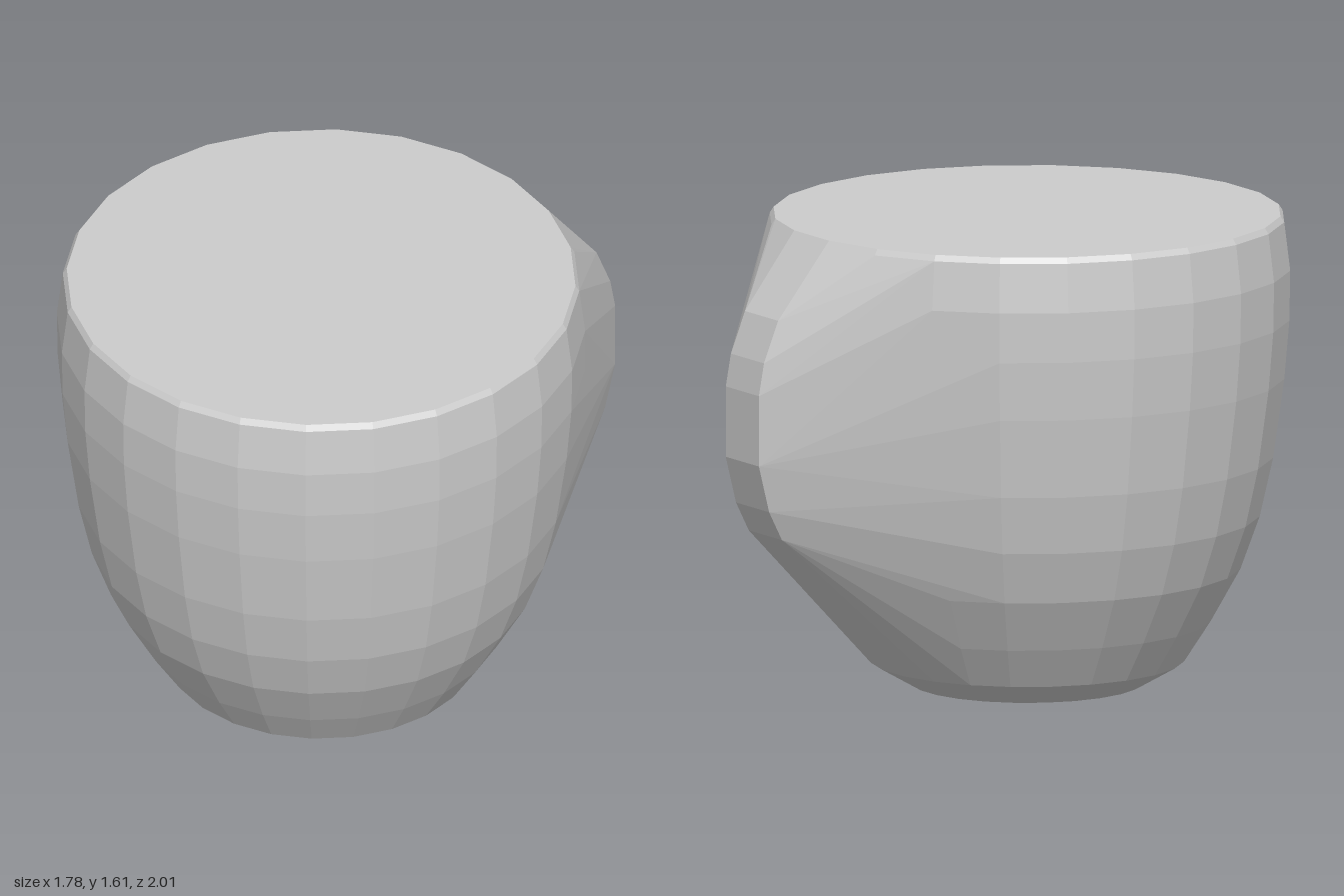
import * as THREE from 'three';
import { ConvexGeometry } from 'three/addons/geometries/ConvexGeometry.js';

const SIDES = 24;
const CENTRE_Z = 0.125;

// Cup outline: [radius, height]
const cupProfile = [
  [0.39, 0], [0.53, 0.08], [0.62, 0.22], [0.72, 0.4], [0.785, 0.58],
  [0.83, 0.78], [0.868, 1.05], [0.885, 1.25], [0.888, 1.42], [0.868, 1.585], [0.855, 1.605],
];

// Outer edge of the handle: [z, height]
const handleProfile = [
  [-0.91, 0.6], [-0.96, 0.7], [-1, 0.86], [-1, 1.1], [-0.98, 1.21], [-0.925, 1.35],
];

export function createModel() {
  const points = [];

  // Rings of the cup
  for (const [r, y] of cupProfile) {
    for (let i = 0; i < SIDES; i++) {
      const a = (i / SIDES) * Math.PI * 2;
      points.push(new THREE.Vector3(Math.sin(a) * r, y, CENTRE_Z + Math.cos(a) * r));
    }
  }

  // Two edges of the handle, turned slightly towards +x
  for (const [z, y] of handleProfile) {
    const shift = -0.13 * (1 + z);
    points.push(new THREE.Vector3(0.04 + shift, y, z));
    points.push(new THREE.Vector3(0.25 + shift, y, z + 0.027));
  }

  // Solid skin stretched around cup and handle
  const material = new THREE.MeshStandardMaterial({ color: 0xcccccc, flatShading: true });
  const cup = new THREE.Mesh(new ConvexGeometry(points), material);
  cup.name = 'cupWithHandle';

  const group = new THREE.Group();
  group.name = 'mugHull';
  group.add(cup);
  return group;
}
